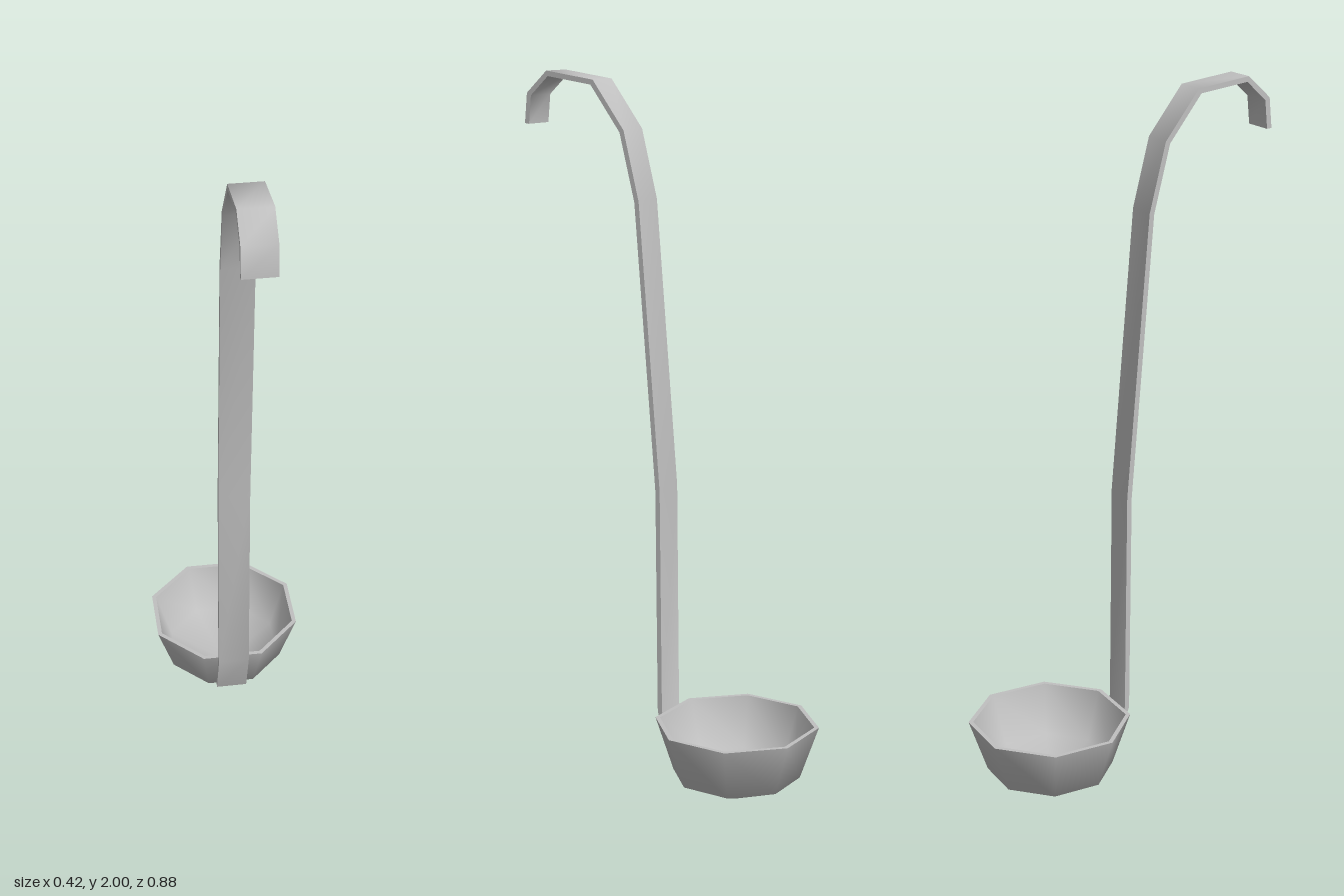
import * as THREE from 'three';
import { toCreasedNormals } from 'three/addons/utils/BufferGeometryUtils.js';

const CREASE = 1.1; // smooth across gentle bends, sharp at rims and strip edges

// Flat strip that follows a bent (z, y) centre line
function bentStrip(points, width, thickness) {
  const path = points.map(([z, y]) => new THREE.Vector2(z, y));
  const sideAt = (i) => {
    const a = path[i].clone().sub(path[Math.max(i - 1, 0)]).normalize();
    const b = path[Math.min(i + 1, path.length - 1)].clone().sub(path[i]).normalize();
    const t = a.clone().add(b).normalize();
    const miter = thickness / 2 / Math.max(t.dot(b.lengthSq() ? b : a), 0.5);
    return new THREE.Vector2(-t.y, t.x).multiplyScalar(miter);
  };
  const left = path.map((p, i) => p.clone().add(sideAt(i)));
  const right = path.map((p, i) => p.clone().sub(sideAt(i)));
  const geometry = new THREE.ExtrudeGeometry(new THREE.Shape([...left, ...right.reverse()]), {
    depth: width, bevelEnabled: false,
  });
  geometry.translate(0, 0, -width / 2).rotateY(-Math.PI / 2);
  return toCreasedNormals(geometry, CREASE);
}

export function createModel() {
  const model = new THREE.Group();
  model.name = 'ladle';
  const steel = new THREE.MeshStandardMaterial({ color: 0xc0c0c0 });
  steel.name = 'steel grey';

  // Eight-sided bowl; profile as [distance to flat side, height], outside then inside
  const toCorner = 1 / Math.cos(Math.PI / 8);
  const profile = [
    [0, 0.003], [0.165, 0.08], [0.212, 0.23],
    [0.2, 0.23], [0.156, 0.089], [0, 0.016],
  ].map(([r, y]) => new THREE.Vector2(r * toCorner, y));
  const bowl = new THREE.Mesh(
    toCreasedNormals(new THREE.LatheGeometry(profile, 8, Math.PI / 8), CREASE), steel);
  bowl.name = 'bowl';
  bowl.position.z = -0.225;
  model.add(bowl);

  // Handle: hugs the bowl wall, rises, then curls forward into a hook
  const handle = new THREE.Mesh(bentStrip([
    [-0.05, 0.08], [0, 0.23], [0.007, 0.87], [0.073, 1.66], [0.12, 1.845],
    [0.216, 1.972], [0.363, 1.992], [0.425, 1.935], [0.433, 1.855],
  ], 0.09, 0.014), steel);
  handle.name = 'handle';
  model.add(handle);

  return model;
}
